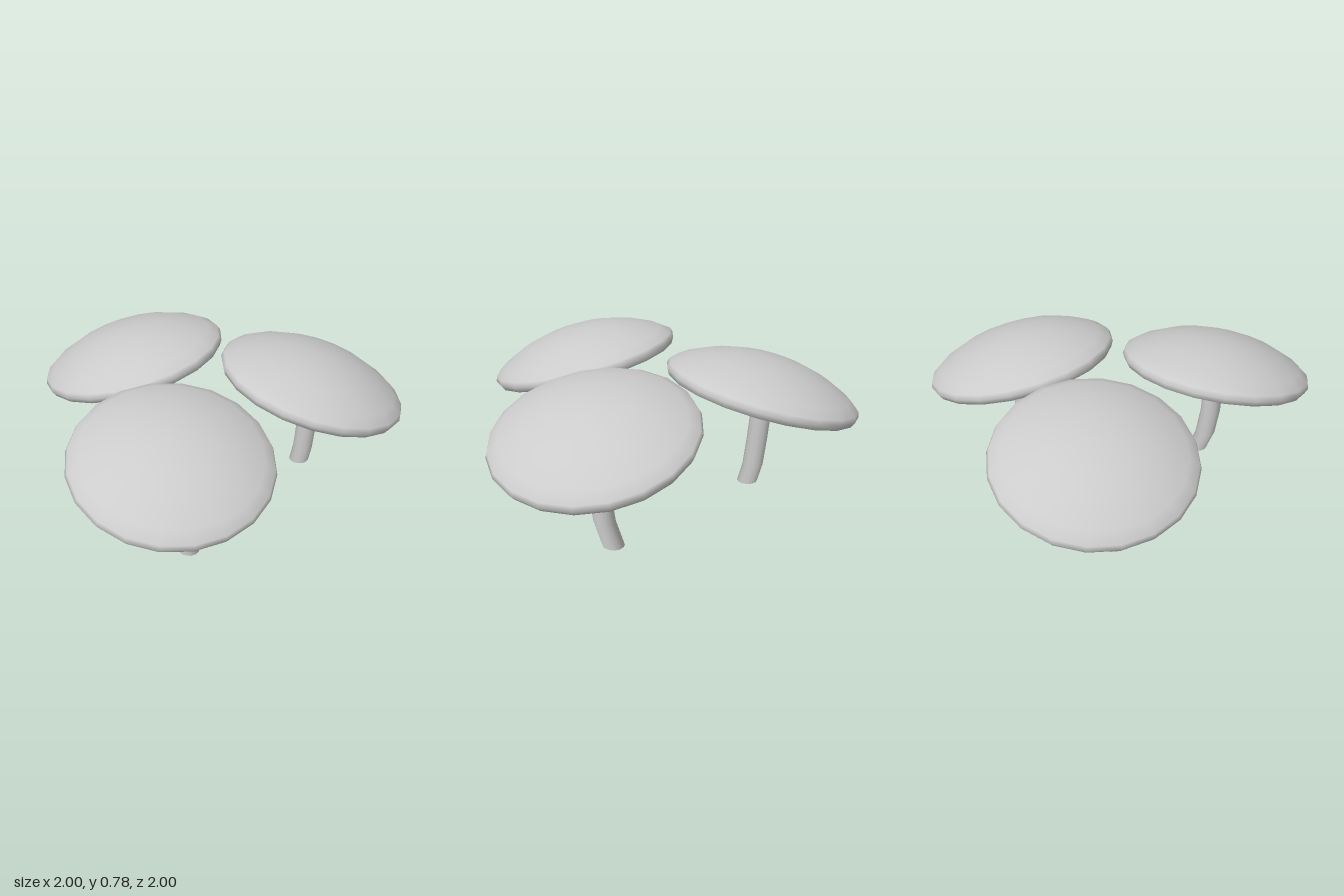
import * as THREE from 'three';

const material = new THREE.MeshStandardMaterial({ color: 0xcccccc });
const TILT = THREE.MathUtils.degToRad(16);
const RIM_HEIGHT = 0.564;

// Cap profile: underside from the stem outward, round the rim, over the dome
const capProfile = [
  [0, 0.148], [0.07, 0.14], [0.13, 0.108], [0.3, 0.048], [0.465, -0.012],
  [0.48, -0.027], [0.497, -0.026], [0.513, 0.004], [0.503, 0.03],
  [0.45, 0.068], [0.33, 0.125], [0.2, 0.163], [0.08, 0.18], [0, 0.181],
].map(([r, h]) => new THREE.Vector2(r, h));

// Stem stations from foot to cap: x, y, z
const stemPath = [
  [0.008, 0, 0.09], [0.008, 0.12, 0.042], [0.006, 0.28, 0.015],
  [-0.016, 0.5, 0.012], [-0.035, 0.715, 0.01],
];

function createCap() {
  const cap = new THREE.Mesh(new THREE.LatheGeometry(capProfile, 20), material);
  cap.name = 'cap';
  cap.position.y = RIM_HEIGHT;
  cap.rotation.z = TILT;
  return cap;
}

// A cylinder whose rings are slid onto the stations, so the foot stays flat
function createStem() {
  const rows = stemPath.length - 1;
  const geometry = new THREE.CylinderGeometry(0.054, 0.054, 1, 12, rows);
  const p = geometry.attributes.position;
  for (let i = 0; i < p.count; i++) {
    const [x, y, z] = stemPath[Math.round((p.getY(i) + 0.5) * rows)];
    p.setXYZ(i, p.getX(i) + x, y, p.getZ(i) + z);
  }
  const stem = new THREE.Mesh(geometry, material);
  stem.name = 'stem';
  return stem;
}

export function createModel() {
  const model = new THREE.Group();
  model.name = 'mushroomCluster';
  // Each mushroom: name, x, z and turn about the vertical in degrees
  const mushrooms = [
    ['rightMushroom', -0.506, -0.344, 0],
    ['leftMushroom', 0.498, -0.497, -143],
    ['frontMushroom', 0.132, 0.499, -232],
  ];
  for (const [name, x, z, turn] of mushrooms) {
    const mushroom = new THREE.Group();
    mushroom.name = name;
    mushroom.add(createCap(), createStem());
    mushroom.position.set(x, 0, z);
    mushroom.rotation.y = THREE.MathUtils.degToRad(turn);
    model.add(mushroom);
  }
  return model;
}
